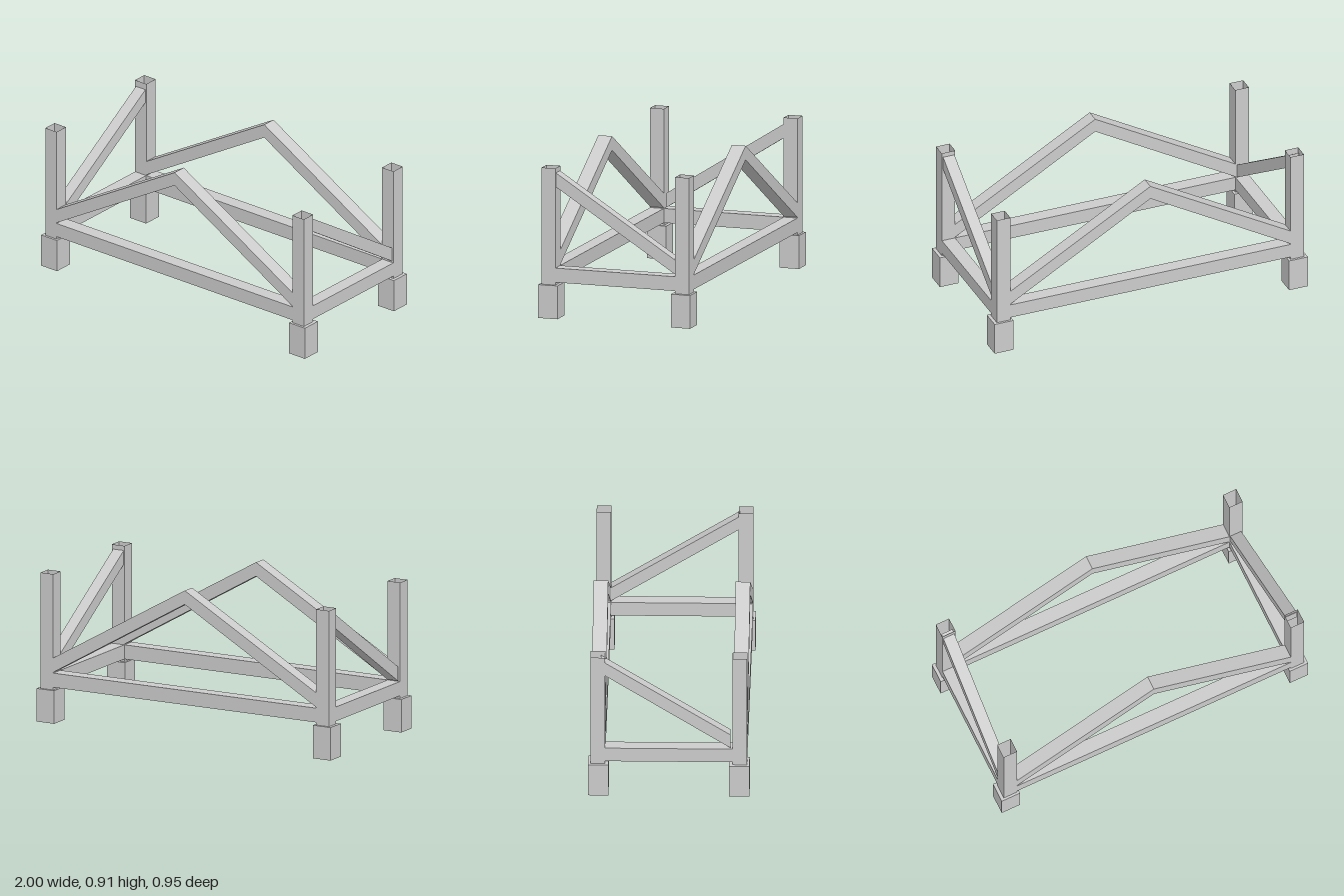
import * as THREE from 'three';

const material = new THREE.MeshStandardMaterial({ color: 0xcccccc, flatShading: true });
const openMaterial = new THREE.MeshStandardMaterial({ color: 0xcccccc, flatShading: true, side: THREE.DoubleSide });

export function createModel() {
  const group = new THREE.Group();

  const add = (name, geometry, mat = material) => {
    const mesh = new THREE.Mesh(geometry, mat);
    mesh.name = name;
    group.add(mesh);
    return mesh;
  };
  const box = (name, x0, x1, y0, y1, z0, z1) =>
    add(name, new THREE.BoxGeometry(x1 - x0, y1 - y0, z1 - z0))
      .position.set((x0 + x1) / 2, (y0 + y1) / 2, (z0 + z1) / 2);
  // Flat outline pushed out along z
  const slab = (points, depth) => new THREE.ExtrudeGeometry(
    new THREE.Shape(points.map(([x, y]) => new THREE.Vector2(x, y))),
    { depth, bevelEnabled: false });

  // Square tube with an open top, closed underneath
  const tube = (width, height) => {
    const g = new THREE.BoxGeometry(width, height, width);
    const index = Array.from(g.index.array);
    index.splice(12, 6); // drop the top face
    g.setIndex(index);
    return g;
  };

  // Corner feet and hollow posts
  for (const sx of [-1, 1]) {
    for (const sz of [-1, 1]) {
      const foot = add('foot', new THREE.BoxGeometry(0.12, 0.2, 0.12));
      foot.position.set(sx * 0.94, 0.1, sz * 0.415);
      const post = add('post', tube(0.086, 0.702), openMaterial);
      post.position.set(sx * 0.937, 0.549, sz * 0.418);
    }
  }

  // Long rails with a gable-shaped brace above each
  for (const z of [-0.461, 0.375]) {
    box('longRail', -0.896, 0.896, 0.216, 0.302, z, z + 0.086);
    add('gableBrace', slab([
      [-0.896, 0.306], [0, 0.823], [0.896, 0.306],
      [0.896, 0.393], [0, 0.907], [-0.896, 0.393],
    ], 0.086)).position.z = z;
  }

  // End rails
  for (const s of [-1, 1]) {
    const rail = add('endRail', new THREE.BoxGeometry(0.084, 0.086, 0.752));
    rail.position.set(s * 0.937, 0.259, 0);
  }

  // Diagonal end braces, outlined as [-z, y] and turned to run along z
  const endBrace = (name, points, x) => {
    const mesh = add(name, slab(points, 0.072));
    mesh.rotation.y = Math.PI / 2;
    mesh.position.x = x;
  };
  endBrace('leftEndBrace',
    [[-0.38, 0.791], [0.38, 0.308], [0.38, 0.394], [-0.38, 0.875]], 0.899);
  endBrace('rightEndBrace',
    [[-0.362, 0.308], [0.4, 0.793], [0.4, 0.877], [-0.362, 0.394]], -0.973);

  return group;
}
